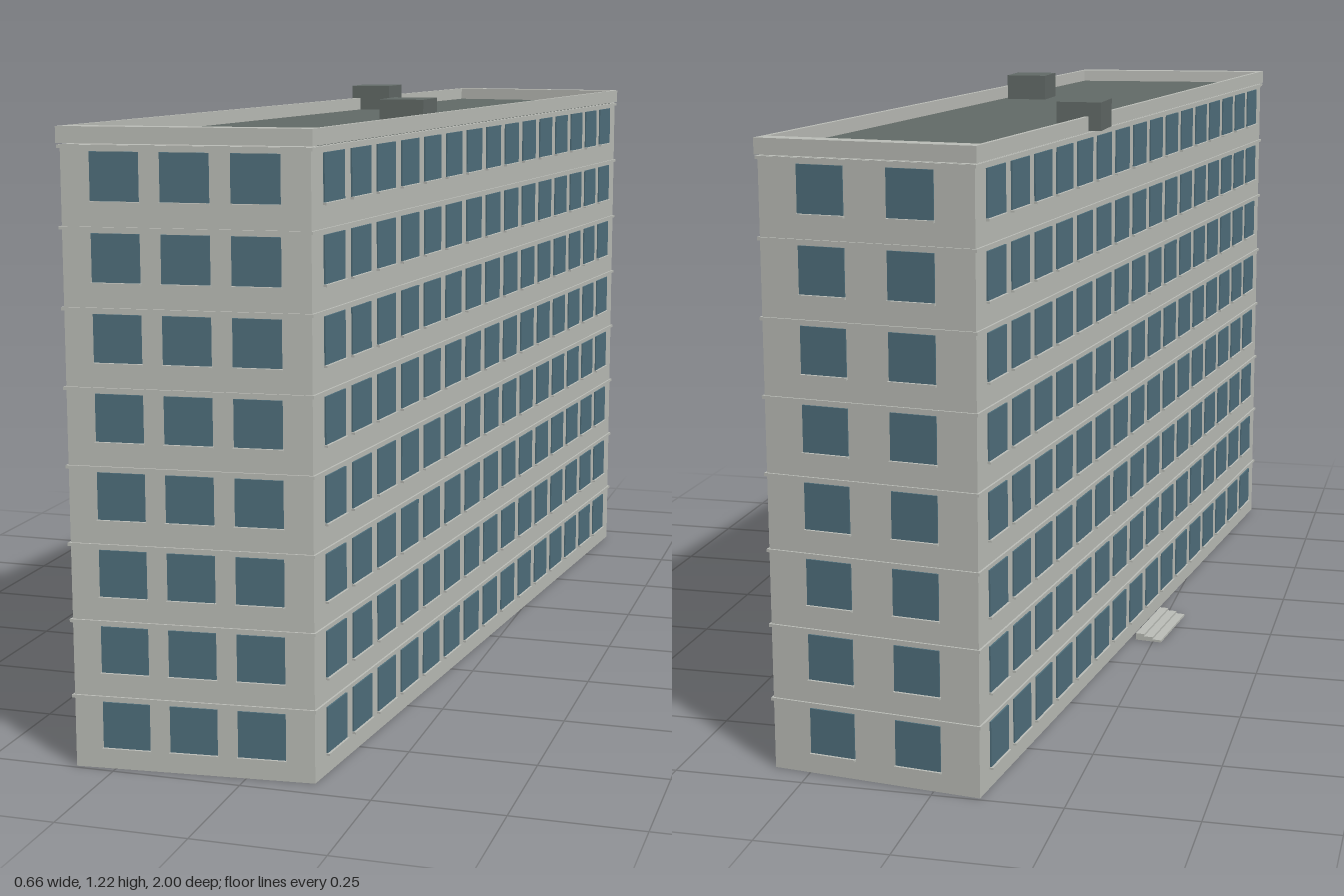
import * as THREE from 'three';
import { mergeGeometries } from 'three/addons/utils/BufferGeometryUtils.js';

const wallMat = new THREE.MeshStandardMaterial({ name: 'pale concrete', color: 0xbdbfb9 });
const glassMat = new THREE.MeshStandardMaterial({ name: 'blue glass', color: 0x50707d });
const roofMat = new THREE.MeshStandardMaterial({ name: 'roof grey', color: 0x636b68 });

const FLOORS = 8, FLOOR_H = 0.1453, ROOF_Y = 1.163, TOP_Y = 1.19;

// Footprint corners [x, z]: front left, front right, back right, back left
const plan = [[-0.326, 0.993], [0.13, 0.953], [0.322, -0.943], [-0.091, -0.994]];

// One wall per footprint side, with its direction and outward normal
const walls = plan.map(([x, z], i) => {
  const [x2, z2] = plan[(i + 1) % 4];
  const length = Math.hypot(x2 - x, z2 - z);
  const dx = (x2 - x) / length, dz = (z2 - z) / length;
  return { x, z, length, dx, dz, nx: -dz, nz: dx, angle: Math.atan2(-dz, dx) };
});

// Footprint pushed outward by d
function offsetPlan(d) {
  return plan.map(([x, z], i) => {
    const a = walls[(i + 3) % 4], b = walls[i];
    const k = d / (1 + a.nx * b.nx + a.nz * b.nz);
    return [x + (a.nx + b.nx) * k, z + (a.nz + b.nz) * k];
  });
}

const toPoints = (pts) => pts.map(([x, z]) => new THREE.Vector2(x, -z));

// Upright prism over a footprint, optionally hollow
function prism(pts, y0, y1, hole) {
  const shape = new THREE.Shape(toPoints(pts));
  if (hole) shape.holes.push(new THREE.Path(toPoints(hole)));
  const g = new THREE.ExtrudeGeometry(shape, { depth: y1 - y0, bevelEnabled: false });
  return g.rotateX(-Math.PI / 2).translate(0, y0, 0);
}

// Box set against a wall: u along it, y up, out from its face
function wallBox(wall, u, y, out, w, h, d) {
  return new THREE.BoxGeometry(w, h, d).rotateY(wall.angle).translate(
    wall.x + wall.dx * u + wall.nx * out, y, wall.z + wall.dz * u + wall.nz * out);
}

export function createModel() {
  const model = new THREE.Group();
  model.name = 'apartmentBlock';
  const add = (name, geometry, material) => {
    const mesh = new THREE.Mesh(geometry, material);
    mesh.name = name;
    model.add(mesh);
  };

  // Main body, roof deck and parapet
  add('walls', prism(plan, 0, 1.158), wallMat);
  const outer = offsetPlan(0.005);
  const inner = outer.map(([x, z]) => [x * 0.962, z * 0.962]);
  add('roofDeck', prism(inner, 1.157, ROOF_Y), roofMat);
  add('parapet', prism(outer, 1.16, TOP_Y, inner), wallMat);

  // Thin ledge above every floor
  const ledges = [];
  for (let f = 1; f <= FLOORS; f++) {
    const y = f * FLOOR_H - 0.008;
    ledges.push(prism(offsetPlan(0.004), y - 0.003, y + 0.003));
  }
  add('floorLedges', mergeGeometries(ledges), wallMat);

  // Windows and sills, spread evenly along each wall
  const sides = ['front', 'right', 'back', 'left'];
  walls.forEach((wall, i) => {
    const glass = [], sills = [];
    const usable = wall.length - 0.07;
    const count = Math.floor(usable / 0.12);
    for (let f = 0; f < FLOORS; f++) {
      for (let c = 0; c < count; c++) {
        const u = 0.035 + usable * (c + 0.5) / count;
        const y = f * FLOOR_H + 0.085;
        glass.push(wallBox(wall, u, y, 0.001, 0.09, 0.088, 0.004));
        sills.push(wallBox(wall, u, y - 0.0465, 0.003, 0.093, 0.004, 0.008));
      }
    }
    add(sides[i] + 'Windows', mergeGeometries(glass), glassMat);
    add(sides[i] + 'Sills', mergeGeometries(sills), wallMat);
  });

  // Two vent housings on the roof
  for (const [x, z] of [[-0.145, -0.358], [0.135, 0.353]]) {
    add('roofVent', new THREE.BoxGeometry(0.09, 0.056, 0.106).translate(x, 1.19, z), roofMat);
  }

  // Low entrance steps in the middle of the left wall
  for (let s = 0; s < 3; s++) {
    const h = 0.015 - s * 0.005;
    add('entranceStep', wallBox(walls[3], 0.996, h / 2, 0.0235 + s * 0.0195, 0.188, h, 0.0195), wallMat);
  }
  return model;
}
